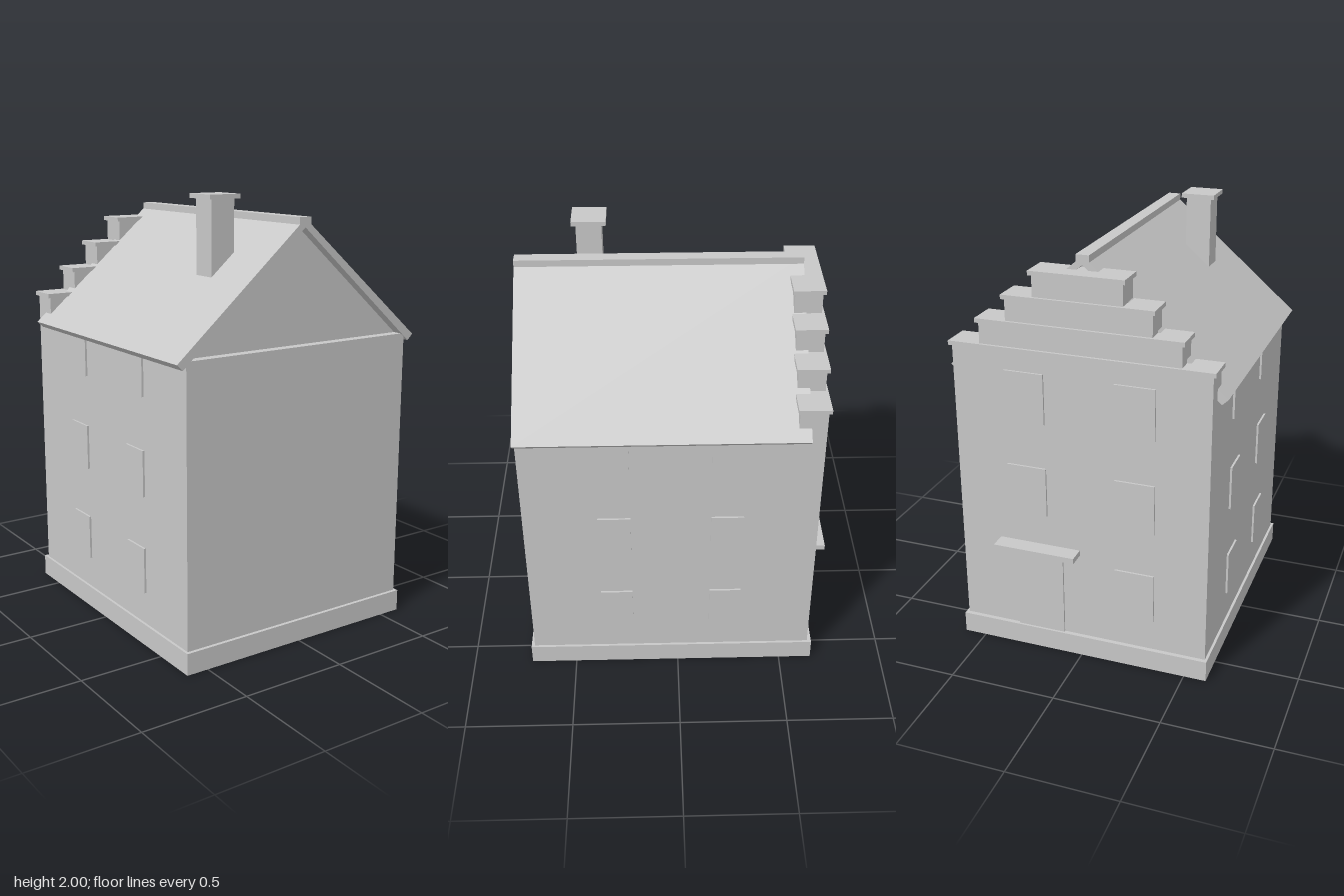
import * as THREE from 'three';

export function createModel() {
  const house = new THREE.Group();
  house.name = 'steppedGableHouse';
  const stone = new THREE.MeshStandardMaterial({ color: 0xc8c8c8 });
  stone.name = 'pale grey stone';

  const add = (name, geometry) => {
    const mesh = new THREE.Mesh(geometry, stone);
    mesh.name = name;
    house.add(mesh);
    return mesh;
  };
  // Box given by its extents along each axis
  const box = (name, [x0, x1], [y0, y1], [z0, z1]) =>
    add(name, new THREE.BoxGeometry(x1 - x0, y1 - y0, z1 - z0))
      .position.set((x0 + x1) / 2, (y0 + y1) / 2, (z0 + z1) / 2);
  // Outline in x and y, extruded from z0 to z1
  const prism = (name, points, z0, z1) => {
    const shape = new THREE.Shape(points.map(([x, y]) => new THREE.Vector2(x, y)));
    add(name, new THREE.ExtrudeGeometry(shape, { depth: z1 - z0, bevelEnabled: false })).position.z = z0;
  };

  // Plinth and walls
  box('plinth', [-0.605, 0.605], [0, 0.1], [-0.656, 0.716]);
  box('walls', [-0.593, 0.593], [0.1, 1.36], [-0.636, 0.7]);

  // Front gable, set back behind the wall top
  prism('gable', [[-0.593, 1.36], [0.593, 1.36], [0, 1.87]], -0.52, 0.655);

  // Pitched roof and ridge
  prism('roof', [
    [-0.613, 1.326], [0, 1.867], [0.613, 1.326],
    [0.641, 1.353], [0, 1.905], [-0.641, 1.353],
  ], -0.568, 0.706);
  box('ridge', [-0.03, 0.03], [1.87, 1.91], [-0.568, 0.706]);

  // Stepped back gable: each tier carries a full-width coping
  let base = 1.36;
  [[0.593, 1.493], [0.459, 1.61], [0.331, 1.728], [0.202, 1.844]].forEach(([half, top]) => {
    box('gableStep', [-half, half], [base, top - 0.02], [-0.636, -0.514]);
    box('stepCoping', [-half - 0.013, half + 0.013], [top - 0.02, top], [-0.648, -0.506]);
    base = top;
  });

  // Chimney
  box('chimneyShaft', [-0.296, -0.178], [1.6, 1.98], [0.325, 0.441]);
  box('chimneyCap', [-0.316, -0.159], [1.98, 2], [0.304, 0.461]);

  // Windows on three floors: both sides and the back
  [0.25, 0.7, 1.15].forEach((sill, floor) => {
    for (const side of [-1, 1]) {
      const xs = [side * 0.593, side * 0.6025].sort((a, b) => a - b);
      for (const z of [0.288, -0.223]) {
        box('sideWindow', xs, [sill, sill + 0.21], [z - 0.074, z + 0.074]);
      }
      // The door takes the place of one ground-floor window
      if (floor > 0 || side < 0) {
        const x = side * 0.255;
        box('backWindow', [x - 0.093, x + 0.093], [sill, sill + 0.237], [-0.6455, -0.636]);
      }
    }
  });

  // Door and canopy
  box('door', [0.09, 0.32], [0.1, 0.497], [-0.6455, -0.636]);
  box('doorCanopy', [0.008, 0.4], [0.524, 0.55], [-0.716, -0.636]);

  return house;
}
